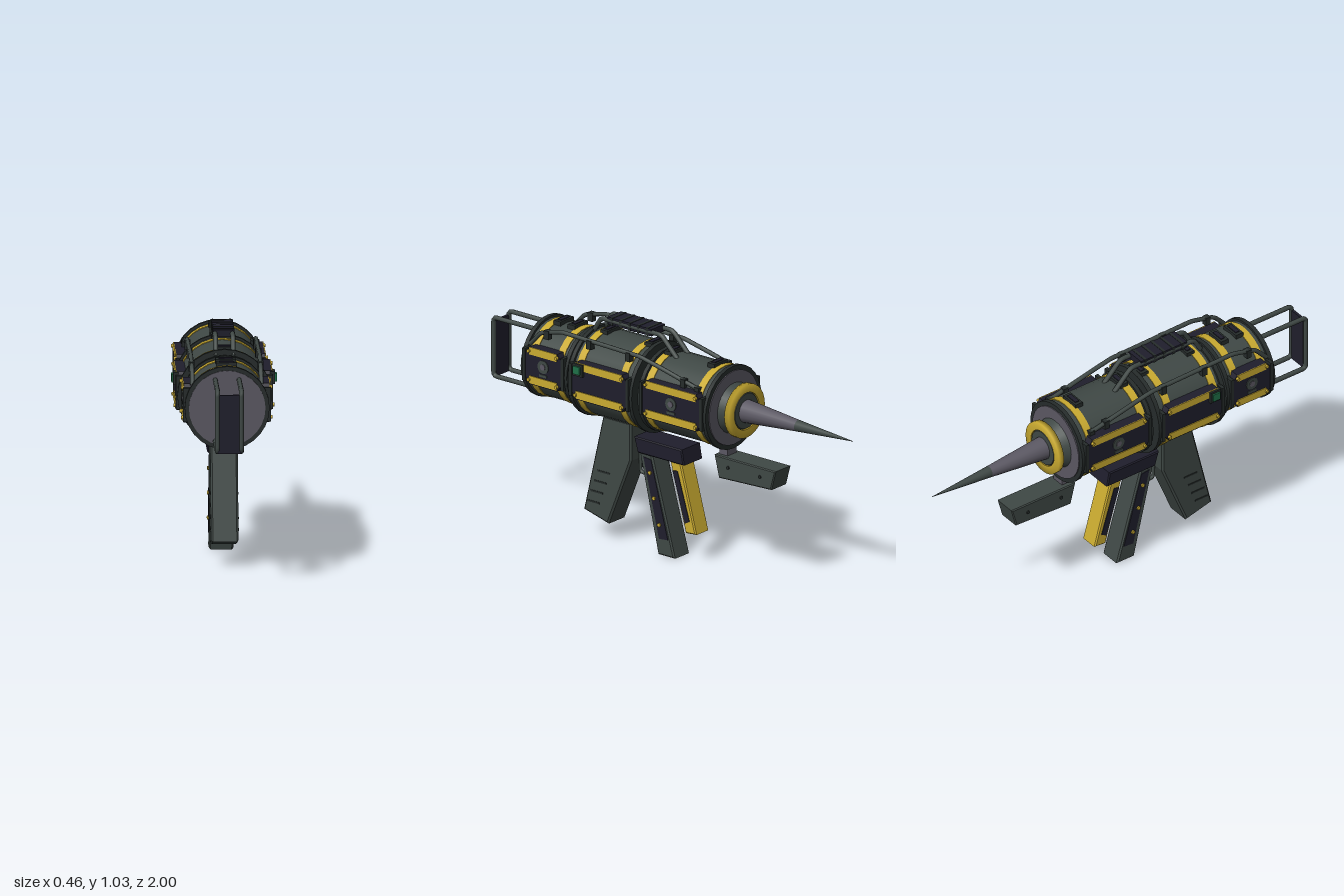
import * as THREE from 'three';

const CY = 0.762; // height of the barrel axis

export function createModel() {
  const root = new THREE.Group();
  const mat = (name, color, side = THREE.FrontSide) => {
    const m = new THREE.MeshStandardMaterial({ color, side });
    m.name = name;
    return m;
  };
  const gunmetal = mat('gunmetal green', 0x3f4845);
  const black = mat('dark trim', 0x262c2b);
  const navy = mat('navy panel', 0x1f1e2c);
  const steel = mat('violet steel', 0x5b5863);
  const yellow = mat('warning yellow', 0xc9aa30);
  const green = mat('lamp green', 0x1f7048);

  const add = (name, geo, material, parent = root) => {
    const m = new THREE.Mesh(geo, material);
    m.name = name;
    parent.add(m);
    return m;
  };
  const box = (name, w, h, d, x, y, z, material) => {
    const m = add(name, new THREE.BoxGeometry(w, h, d), material);
    m.position.set(x, y, z);
    return m;
  };
  // Cylinder along z, from z0 to z1 with radii r0 and r1
  const drum = (name, r0, r1, z0, z1, material, sides = 28) => {
    const g = new THREE.CylinderGeometry(r1, r0, Math.abs(z1 - z0), sides);
    g.rotateX(z1 > z0 ? Math.PI / 2 : -Math.PI / 2);
    g.translate(0, CY, (z0 + z1) / 2);
    return add(name, g, material);
  };
  // Outline in [z, y], extruded along x from xa to xb
  const slab = (name, pts, xa, xb, material, bevel = 0) => {
    const shape = new THREE.Shape(pts.map(p => new THREE.Vector2(p[0], p[1])));
    const g = new THREE.ExtrudeGeometry(shape, {
      depth: xb - xa - 2 * bevel, bevelEnabled: bevel > 0, bevelSize: bevel,
      bevelOffset: -bevel, bevelThickness: bevel, bevelSegments: 1,
    });
    g.rotateY(-Math.PI / 2).translate(xb - bevel, 0, 0);
    return add(name, g, material);
  };
  // Matching slab on both sides of the model
  const slabPair = (name, pts, xa, xb, material) => {
    slab(name, pts, xa, xb, material);
    slab(name, pts, -xb, -xa, material);
  };
  // Discs facing sideways on both sides
  const studPair = (name, r, xa, xb, y, z, material, sides = 12) => {
    for (const s of [1, -1]) {
      const g = new THREE.CylinderGeometry(r, r, xb - xa, sides).rotateZ(Math.PI / 2);
      g.translate(s * (xa + xb) / 2, y, z);
      add(name, g, material);
    }
  };
  // Round bar with slightly softened corners
  const bar = (name, pts, r, material) => {
    const path = new THREE.CurvePath();
    const v = pts.map(p => new THREE.Vector3(...p));
    let start = v[0];
    for (let i = 1; i < v.length - 1; i++) {
      const a = v[i].clone().add(v[i - 1].clone().sub(v[i]).setLength(0.02));
      const b = v[i].clone().add(v[i + 1].clone().sub(v[i]).setLength(0.02));
      path.add(new THREE.LineCurve3(start, a));
      path.add(new THREE.QuadraticBezierCurve3(a, v[i], b));
      start = b;
    }
    path.add(new THREE.LineCurve3(start, v[v.length - 1]));
    add(name, new THREE.TubeGeometry(path, 70, r, 8), material);
  };

  // Three barrel sections: [name, rear z, front z, radius, band centres]
  const sections = [
    ['rear', 0.725, 0.465, 0.174, [0.67, 0.522]],
    ['middle', 0.445, 0.08, 0.195, [0.393, 0.148]],
    ['front', 0.06, -0.325, 0.18, [0.018, -0.262]],
  ];
  for (const [name, zb, zf, r, bands] of sections) {
    drum(name + 'Drum', r, r, zb - 0.005, zf + 0.005, gunmetal);
    for (const z of [zb - 0.01, zf + 0.01]) drum(name + 'Flange', r + 0.011, r + 0.011, z + 0.01, z - 0.01, black);
    for (const z of bands) drum(name + 'Band', r + 0.003, r + 0.003, z + 0.018, z - 0.018, yellow);

    // Side panel with clipped corners, stripes, hub and bolts
    const a = zb - 0.022, b = zf + 0.022, c = 0.03, x = r + 0.013;
    slabPair(name + 'SidePanel', [[a, 0.73], [a - c, 0.69], [b + c, 0.69], [b, 0.73], [b, 0.825],
      [b + c, 0.862], [a - c, 0.862], [a, 0.825]], r - 0.05, x, navy);
    for (const y of [0.712, 0.845]) {
      slabPair(name + 'PanelStripe', [[a - c, y - 0.017], [b + c, y - 0.017], [b + c, y + 0.017],
        [a - c, y + 0.017]], x, x + 0.004, yellow);
      for (const z of [a - c, b + c]) studPair(name + 'PanelBolt', 0.008, x, x + 0.012, y, z, yellow, 8);
    }
    // Dark brackets at the panel ends
    for (const z of [a, b]) slabPair(name + 'PanelBracket', [[z - 0.008, 0.7], [z + 0.008, 0.7],
      [z + 0.008, 0.85], [z - 0.008, 0.85]], r - 0.03, x + 0.004, black);
    if (name !== 'middle') {
      const zc = (a + b) / 2;
      studPair(name + 'PanelHub', 0.03, x, x + 0.004, 0.785, zc, gunmetal, 20);
      studPair(name + 'PanelHubCentre', 0.014, x, x + 0.007, 0.785, zc, steel);
      slabPair(name + 'PanelHubFoot', [[zc - 0.022, 0.738], [zc + 0.022, 0.738], [zc + 0.022, 0.75],
        [zc - 0.022, 0.75]], x, x + 0.004, gunmetal);
    }
  }
  drum('rearNeck', 0.16, 0.16, 0.475, 0.435, black);
  drum('frontNeck', 0.16, 0.16, 0.09, 0.05, black);
  drum('rearCap', 0.167, 0.167, 0.72, 0.729, steel);
  drum('noseCap', 0.17, 0.17, -0.32, -0.33, steel);

  // Side lamps
  const sq = (z, y, h) => [[z - h, y - h], [z + h, y - h], [z + h, y + h], [z - h, y + h]];
  slabPair('lampHousing', sq(0.375, 0.832, 0.028), 0.2, 0.222, black);
  slabPair('lampLens', sq(0.375, 0.832, 0.018), 0.222, 0.23, green);

  // Nose collar, ring and spike
  drum('noseCone', 0.115, 0.08, -0.33, -0.4, gunmetal);
  const ring = new THREE.LatheGeometry([[0.085, -0.013], [0.123, -0.013], [0.123, 0.013], [0.085, 0.013],
    [0.085, -0.013]].map(p => new THREE.Vector2(...p)), 28);
  ring.rotateX(Math.PI / 2).translate(0, CY, -0.388);
  add('noseRing', ring, yellow);
  drum('spikeBase', 0.052, 0.026, -0.4, -0.69, steel, 20);
  drum('spikeTip', 0.026, 0.001, -0.69, -1, gunmetal, 20);

  // Top plates
  for (const [z, y] of [[-0.235, 0.945], [0.01, 0.945], [0.37, 0.958], [0.12, 0.958], [0.555, 0.939], [0.635, 0.939]]) {
    box('topPlate', 0.09, 0.022, 0.04, 0, y, z, black);
    box('topPlateInset', 0.06, 0.006, 0.02, 0, y + 0.012, z, navy);
  }

  // Carry handle
  for (const x of [-0.038, 0.038]) bar('carryHandleBar', [[x, 0.94, 0.44], [x, 1.02, 0.39], [x, 1.02, 0.05],
    [x, 0.93, -0.04]], 0.011, gunmetal);
  box('carryGrip', 0.092, 0.032, 0.25, 0, 1.02, 0.225, navy);
  for (let i = 0; i < 5; i++) box('carryGripRib', 0.096, 0.036, 0.012, 0, 1.02, 0.125 + i * 0.05, black);

  // Long side rails with clamps
  for (const x of [-0.15, 0.15]) {
    bar('sideRail', [[x, 0.86, 0.7], [x, 0.925, 0.64], [x, 0.955, 0.52], [x, 0.945, 0.08], [x, 0.915, -0.06],
      [x, 0.87, -0.25]], 0.01, gunmetal);
    for (const [y, z] of [[0.935, 0.6], [0.945, 0.36], [0.94, 0.14], [0.89, -0.17], [0.87, -0.25]]) {
      box('railClamp', 0.026, 0.04, 0.026, x, y - 0.01, z, black);
    }
  }

  // Shoulder stock
  for (const x of [-0.052, 0.052]) bar('stockBar', [[x, 0.888, 0.72], [x, 0.888, 0.988], [x, 0.617, 0.988],
    [x, 0.617, 0.72]], 0.011, gunmetal);
  box('stockPlate', 0.1, 0.26, 0.012, 0, 0.742, 0.988, navy);

  // Rear grip with side grooves and trigger
  slab('rearGrip', [[0.365, 0.58], [0.205, 0.58], [0.205, 0.405], [0.335, 0.083], [0.475, 0.12]],
    -0.06, 0.06, gunmetal, 0.008);
  for (let i = 0; i < 4; i++) {
    const z = 0.393 + i * 0.02, y = 0.318 - i * 0.05;
    slabPair('gripGroove', [[z, y - 0.004], [z - 0.07, y - 0.004], [z - 0.07, y + 0.004], [z, y + 0.004]],
      0.058, 0.062, black);
  }
  bar('triggerGuard', [[0, 0.47, 0.2], [0, 0.34, 0.2], [0, 0.34, 0.12]], 0.008, gunmetal);
  slab('trigger', [[0.17, 0.46], [0.145, 0.46], [0.165, 0.395], [0.178, 0.395]], -0.012, 0.012, black);

  // Receiver block, magazine and yellow foregrip
  slab('receiverBlock', [[0.185, 0.525], [-0.085, 0.525], [-0.098, 0.455], [0.165, 0.455]], -0.065, 0.065, navy, 0.005);
  slab('magazine', [[0.165, 0.46], [0.095, 0.46], [-0.035, 0.005], [0.06, 0.005]], -0.053, 0.053, gunmetal, 0.007);
  slabPair('magazineInset', [[0.138, 0.44], [0.095, 0.435], [0.0, 0.085], [0.05, 0.08]], 0.05, 0.056, navy);
  for (const [y, z] of [[0.375, 0.1], [0.262, 0.077], [0.145, 0.047]]) studPair('magazineRivet', 0.009, 0.055, 0.062, y, z, yellow, 8);
  slab('foregrip', [[0.0, 0.46], [-0.062, 0.46], [-0.15, 0.14], [-0.09, 0.135]], -0.045, 0.045, yellow, 0.006);
  slabPair('foregripInset', [[-0.02, 0.41], [-0.047, 0.415], [-0.115, 0.195], [-0.09, 0.18]], 0.043, 0.048, navy);

  // Under-nose box and its bracket
  slab('noseBox', [[-0.26, 0.543], [-0.607, 0.543], [-0.582, 0.452], [-0.285, 0.44]], -0.054, 0.054, gunmetal, 0.005);
  box('noseBoxBracket', 0.06, 0.07, 0.045, 0, 0.565, -0.295, steel);
  for (const z of [-0.34, -0.52]) studPair('noseBoxBolt', 0.008, 0.05, 0.059, 0.5, z, black, 8);

  return root;
}
